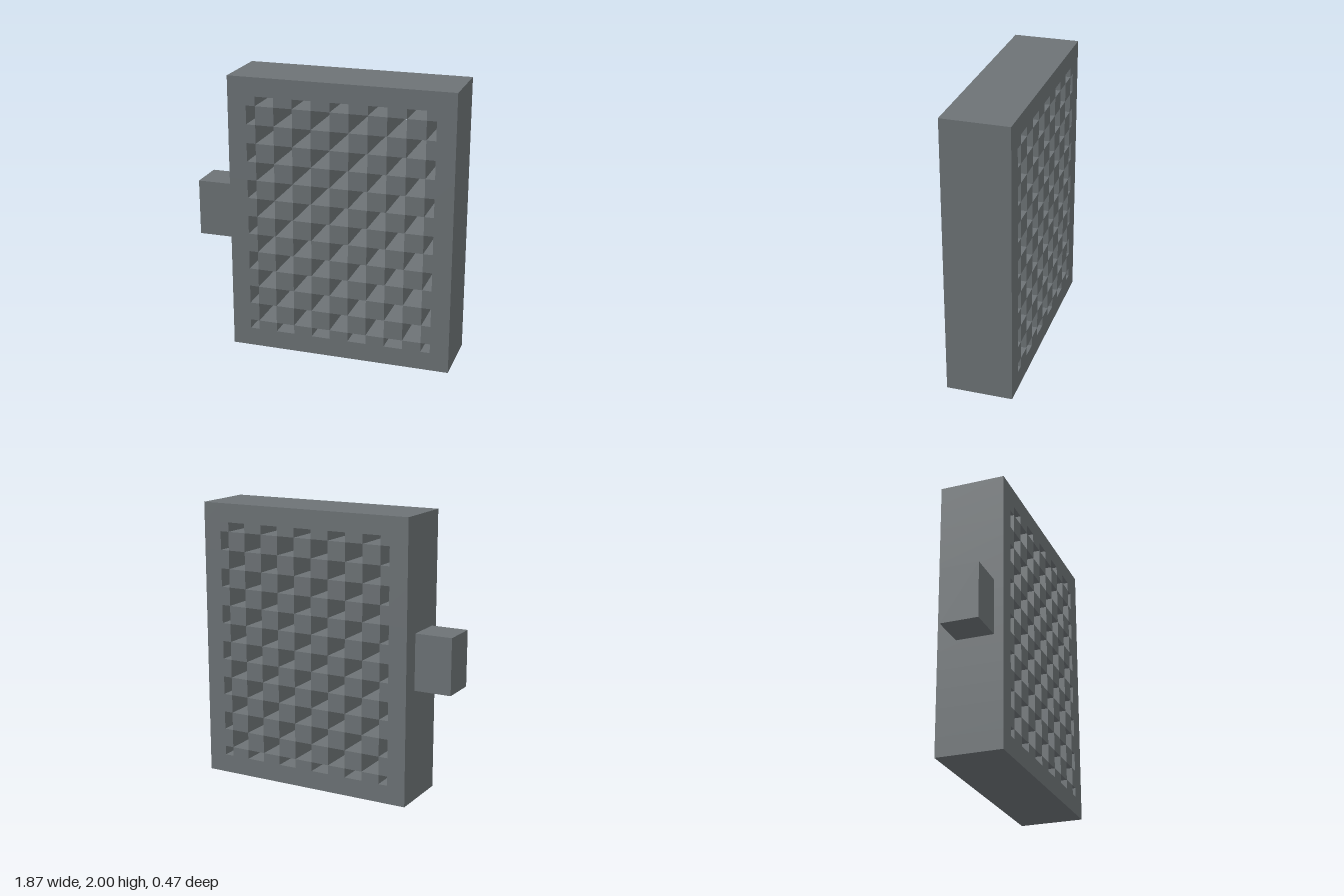
import * as THREE from 'three';

const U = 1 / 15; // modelling unit
const HALF_DEPTH = 3.5 * U;

// Grid lines: thick border, half cell, full cells, half cell, thick border
function gridLines(start, fullCells) {
  const lines = [start, start + 2, start + 3];
  for (let i = 1; i <= fullCells; i++) lines.push(start + 3 + 2 * i);
  const end = lines[lines.length - 1];
  lines.push(end + 1, end + 3);
  return lines.map((v) => v * U);
}

const xs = gridLines(-10, 9);
const ys = gridLines(0, 12);
const cols = xs.length - 1;
const rows = ys.length - 1;

const inGrid = (i, j) => i >= 0 && j >= 0 && i < cols && j < rows;
const isBorder = (i, j) => i === 0 || j === 0 || i === cols - 1 || j === rows - 1;
const isSolid = (i, j) => inGrid(i, j) && (isBorder(i, j) || (i + j) % 2 === 1);

// Exposed faces of all solid cells that belong to one part
function cellGeometry(belongs) {
  const pos = [];
  const quad = (a, b, c, d) => pos.push(...a, ...b, ...c, ...a, ...c, ...d);
  const f = HALF_DEPTH;
  for (let i = 0; i < cols; i++) {
    for (let j = 0; j < rows; j++) {
      if (!isSolid(i, j) || !belongs(i, j)) continue;
      const [x0, x1, y0, y1] = [xs[i], xs[i + 1], ys[j], ys[j + 1]];
      quad([x0, y0, f], [x1, y0, f], [x1, y1, f], [x0, y1, f]);
      quad([x1, y0, -f], [x0, y0, -f], [x0, y1, -f], [x1, y1, -f]);
      // Walls only where the neighbouring cell is open
      if (!isSolid(i + 1, j)) quad([x1, y0, f], [x1, y0, -f], [x1, y1, -f], [x1, y1, f]);
      if (!isSolid(i - 1, j)) quad([x0, y0, -f], [x0, y0, f], [x0, y1, f], [x0, y1, -f]);
      if (!isSolid(i, j + 1)) quad([x0, y1, f], [x1, y1, f], [x1, y1, -f], [x0, y1, -f]);
      if (!isSolid(i, j - 1)) quad([x0, y0, -f], [x1, y0, -f], [x1, y0, f], [x0, y0, f]);
    }
  }
  const geometry = new THREE.BufferGeometry();
  geometry.setAttribute('position', new THREE.Float32BufferAttribute(pos, 3));
  geometry.computeVertexNormals();
  return geometry;
}

export function createModel() {
  const group = new THREE.Group();
  group.name = 'latticePanel';
  const grey = new THREE.MeshStandardMaterial({ color: 0x6d7376 });
  grey.name = 'slate grey';

  const add = (name, geometry) => {
    const mesh = new THREE.Mesh(geometry, grey);
    mesh.name = name;
    group.add(mesh);
    return mesh;
  };

  // Thick outer frame
  add('frame', cellGeometry(isBorder));

  // Checkerboard of blocks with open tunnels between them
  add('lattice', cellGeometry((i, j) => !isBorder(i, j)));

  // Block on the side, set slightly forward
  add('sideBlock', new THREE.BoxGeometry(4 * U, 6 * U, 4 * U)).position.set(-12 * U, 15 * U, 0.5 * U);

  return group;
}
